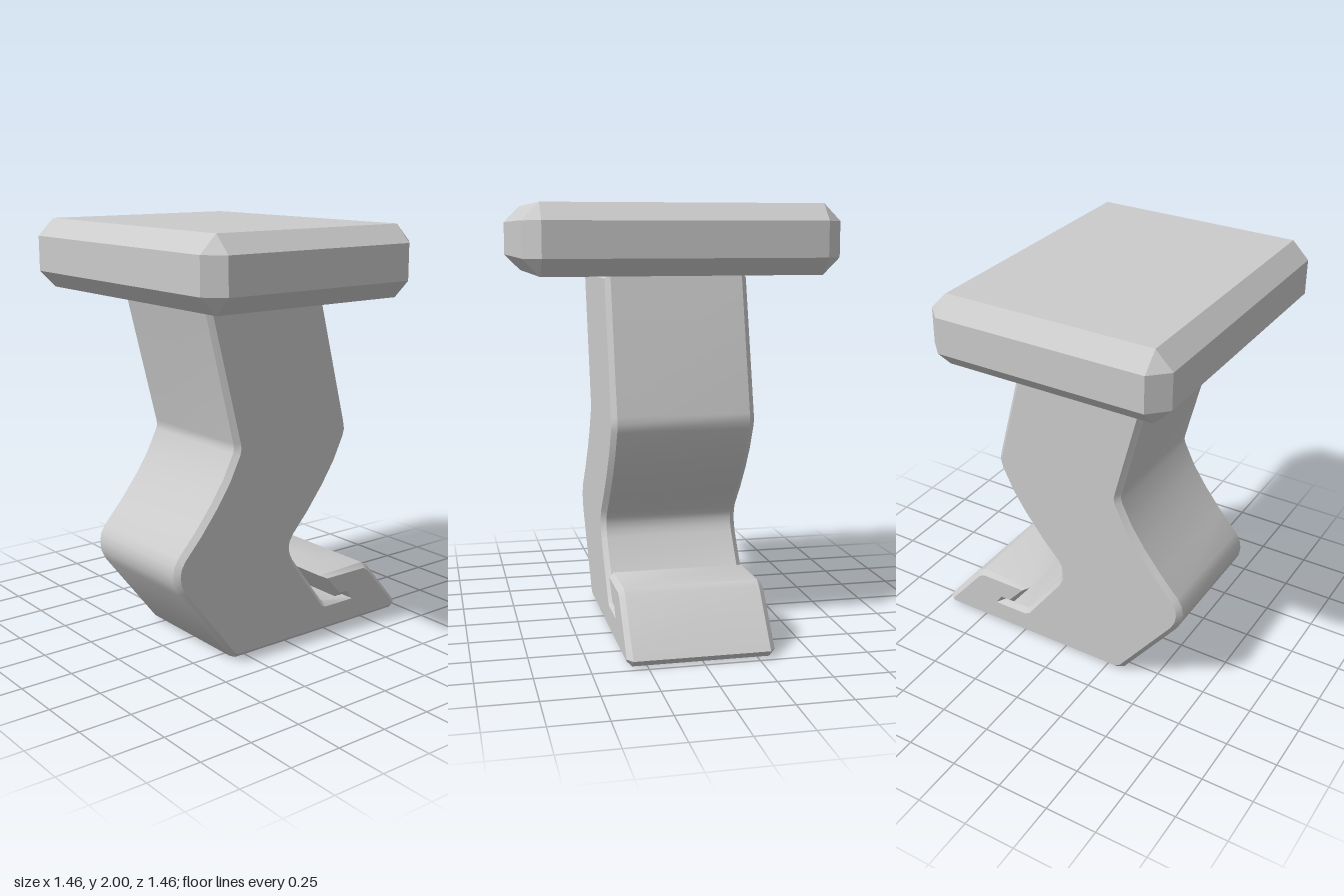
import * as THREE from 'three';
import { toCreasedNormals } from 'three/addons/utils/BufferGeometryUtils.js';
import { ConvexGeometry } from 'three/addons/geometries/ConvexGeometry.js';

const material = new THREE.MeshStandardMaterial({ color: 0xcccccc });

// Box with every edge cut at 45 degrees
function chamferedBox(w, h, d, c) {
  const points = [];
  for (const sx of [-1, 1]) for (const sy of [-1, 1]) for (const sz of [-1, 1]) {
    for (let axis = 0; axis < 3; axis++) {
      const inset = [c, c, c];
      inset[axis] = 0;
      points.push(new THREE.Vector3(
        sx * (w / 2 - inset[0]), sy * (h / 2 - inset[1]), sz * (d / 2 - inset[2])));
    }
  }
  return new ConvexGeometry(points);
}

export function createModel() {
  const group = new THREE.Group();

  // Thick top plate, offset towards -x
  const plate = new THREE.Mesh(chamferedBox(1.15, 0.325, 1.46, 0.08), material);
  plate.name = 'topPlate';
  plate.position.set(-0.155, 1.8375, 0);
  group.add(plate);

  // Zigzag side of the leg from top to bottom; the other side is the same line shifted in x
  const zigzag = [
    [-0.447, 1.66], [-0.29, 1.04], [-0.285, 1.01], [-0.293, 0.98], [-0.35, 0.865],
    [-0.42, 0.76], [-0.51, 0.645], [-0.6, 0.545], [-0.62, 0.51], [-0.626, 0.475],
    [-0.62, 0.435], [-0.6, 0.395],
  ];
  const legWidth = 0.62;

  // Foot with a forward hook and a narrow slot under it
  const foot = [
    [-0.325, 0.037], [-0.3, 0.025], [0.69, 0.025], [0.7, 0.035],
    [0.515, 0.255], [0.488, 0.271], [0.246, 0.271],
    [0.33, 0.176], [0.38, 0.176], [0.415, 0.127],
    [0.235, 0.127], [0.208, 0.14],
  ];
  const outline = [
    ...zigzag, ...foot,
    ...zigzag.map(([x, y]) => [x + legWidth, y]).reverse(),
  ];
  const shape = new THREE.Shape(outline.map(([x, y]) => new THREE.Vector2(x, y)));
  const legGeometry = new THREE.ExtrudeGeometry(shape, {
    depth: 0.62, bevelEnabled: true, bevelSegments: 1, bevelSize: 0.023, bevelThickness: 0.025,
  });
  legGeometry.translate(0, 0, -0.305);
  const leg = new THREE.Mesh(toCreasedNormals(legGeometry, 0.6), material);
  leg.name = 'bentLegWithHook';
  group.add(leg);

  return group;
}
